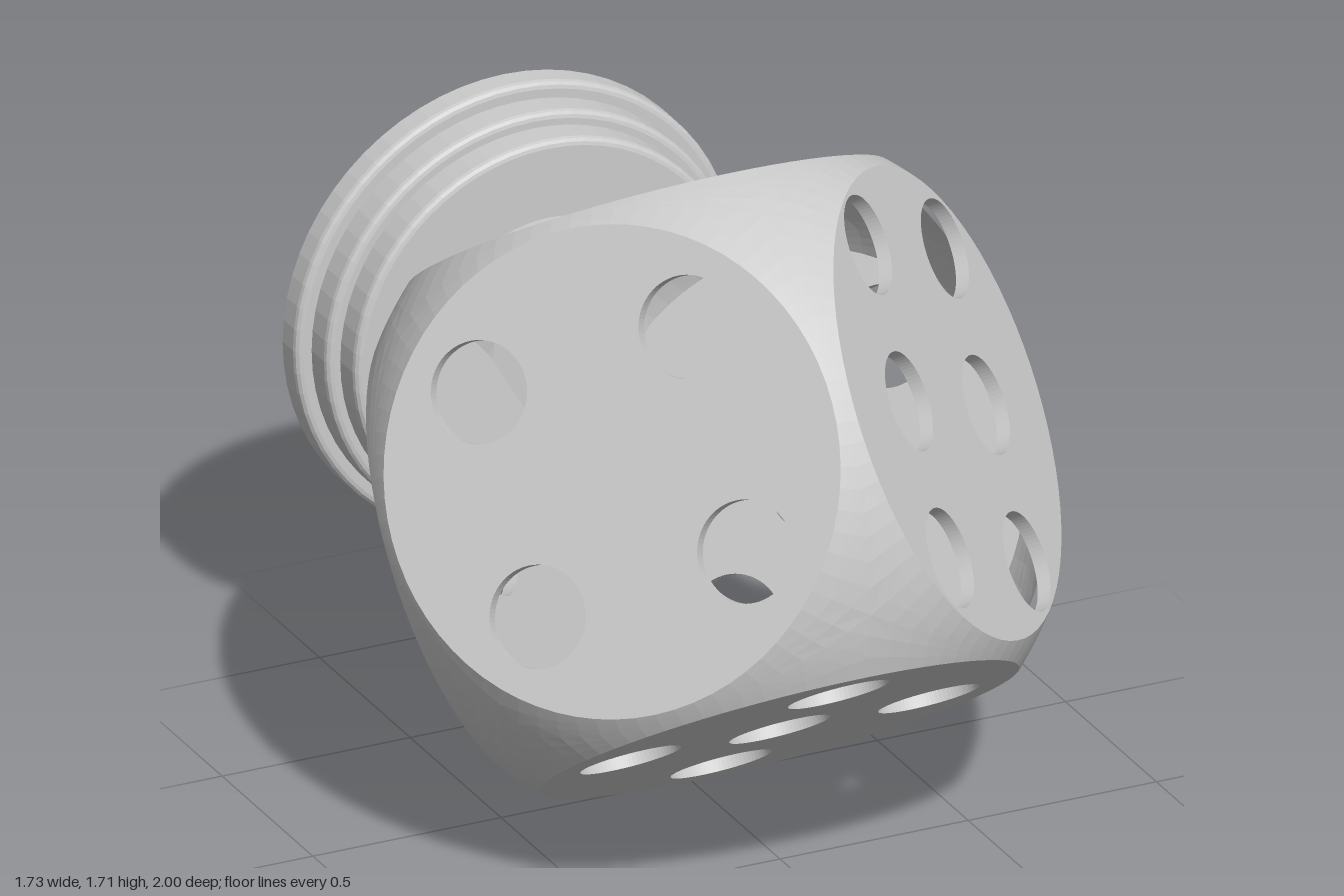
import * as THREE from 'three';

const H = 0.63;        // centre to face
const DISC = 0.593;    // radius of each flat round face
const R = Math.hypot(H, DISC);
const WALL = 0.035;
const PIP = 0.125;
const SEG = 72;

// Cube axes with the body diagonal along z
const s = Math.SQRT1_2, q = 1 / Math.sqrt(3), k = 1 / Math.sqrt(6);
const A = new THREE.Vector3(s, k, q);
const B = new THREE.Vector3(0, -2 * k, q);
const C = new THREE.Vector3(-s, k, q);

const d = 0.28;
const corners = [[d, d], [-d, d], [d, -d], [-d, -d]];
const FACES = [
  { name: 'one', u: B, v: C, n: A, flip: true, pips: [[0, 0]] },
  { name: 'two', u: C, v: A, n: B, flip: true, pips: [[0.215, 0.195], [-0.195, -0.215]] },
  { name: 'three', u: A, v: B, n: C, flip: true, pips: [[d, -d], [0, 0], [-d, d]] },
  { name: 'four', u: B, v: A, n: C, pips: corners },
  { name: 'five', u: A, v: C, n: B, pips: [...corners, [0, 0]] },
  { name: 'six', u: C, v: B, n: A, pips: [-0.238, 0.238].flatMap(x => [-0.39, 0, 0.39].map(y => [x, y])) },
];

// Flat round plate pierced by its pips
function plateGeometry(pips) {
  const shape = new THREE.Shape().absarc(0, 0, DISC, 0, Math.PI * 2, false);
  for (const [x, y] of pips) {
    shape.holes.push(new THREE.Path().absarc(x, y, PIP, 0, Math.PI * 2, true));
  }
  const geo = new THREE.ExtrudeGeometry(shape, { depth: WALL, bevelEnabled: false, curveSegments: SEG / 2 });
  return geo.translate(0, 0, H - WALL);
}

// Spherical patch between a plate's rim and the cube edges around it
function patchGeometry() {
  const steps = 3, pos = [], index = [];
  const rim = new THREE.Vector3(), edge = new THREE.Vector3();
  for (let i = 0; i <= steps; i++) {
    for (let j = 0; j <= SEG; j++) {
      const a = (j / SEG) * Math.PI * 2, c = Math.cos(a), t = Math.sin(a);
      const m = Math.max(Math.abs(c), Math.abs(t));
      rim.set(c * DISC, t * DISC, H);
      edge.set(c / m, t / m, 1).setLength(R);
      pos.push(...rim.lerp(edge, i / steps).setLength(R).toArray());
      if (i < steps && j < SEG) {
        const p = i * (SEG + 1) + j, o = p + SEG + 1;
        index.push(p, o, o + 1, p, o + 1, p + 1);
      }
    }
  }
  const geo = new THREE.BufferGeometry();
  geo.setAttribute('position', new THREE.Float32BufferAttribute(pos, 3));
  geo.setIndex(index);
  geo.computeVertexNormals();
  return geo;
}

export function createModel() {
  const model = new THREE.Group();
  model.name = 'dieOnStand';
  const mat = new THREE.MeshStandardMaterial({ color: 0xcccccc, flatShading: true });
  const innerMat = new THREE.MeshStandardMaterial({ color: 0xcccccc, flatShading: true, side: THREE.BackSide });

  // Hollow die
  const die = new THREE.Group();
  die.name = 'die';
  die.position.set(0, 0.86, 0.135);
  model.add(die);

  const patch = patchGeometry();
  for (const f of FACES) {
    const face = new THREE.Group();
    face.name = f.name + 'Face';
    const n = f.n.clone().multiplyScalar(f.flip ? -1 : 1);
    face.quaternion.setFromRotationMatrix(new THREE.Matrix4().makeBasis(f.u, f.v, n));

    const plate = new THREE.Mesh(plateGeometry(f.pips), mat);
    plate.name = 'pipPlate';
    const outer = new THREE.Mesh(patch, mat);
    outer.name = 'roundedEdge';
    const inner = new THREE.Mesh(patch, innerMat);
    inner.name = 'innerRoundedEdge';
    inner.scale.setScalar((H - WALL) / H);
    face.add(plate, outer, inner);
    die.add(face);
  }

  // Stepped round stand behind the die: [radius, back z, front z] with eased rims
  const tiers = [[0.588, -1, -0.925], [0.547, -0.925, -0.84], [0.512, -0.84, -0.755], [0.312, -0.755, -0.655]];
  const e = 0.018;
  const profile = [new THREE.Vector2(0, -1)];
  for (const [r, back, front] of tiers) {
    profile.push(new THREE.Vector2(r, back));
    for (let i = 0; i <= 3; i++) {
      const a = (i / 3) * Math.PI / 2;
      profile.push(new THREE.Vector2(r - e + e * Math.cos(a), front - e + e * Math.sin(a)));
    }
  }
  profile.push(new THREE.Vector2(0, -0.655));
  const stand = new THREE.Mesh(new THREE.LatheGeometry(profile, 64).rotateX(Math.PI / 2), mat);
  stand.name = 'steppedStand';
  stand.position.set(-0.01, 0.858, 0);
  model.add(stand);

  return model;
}
